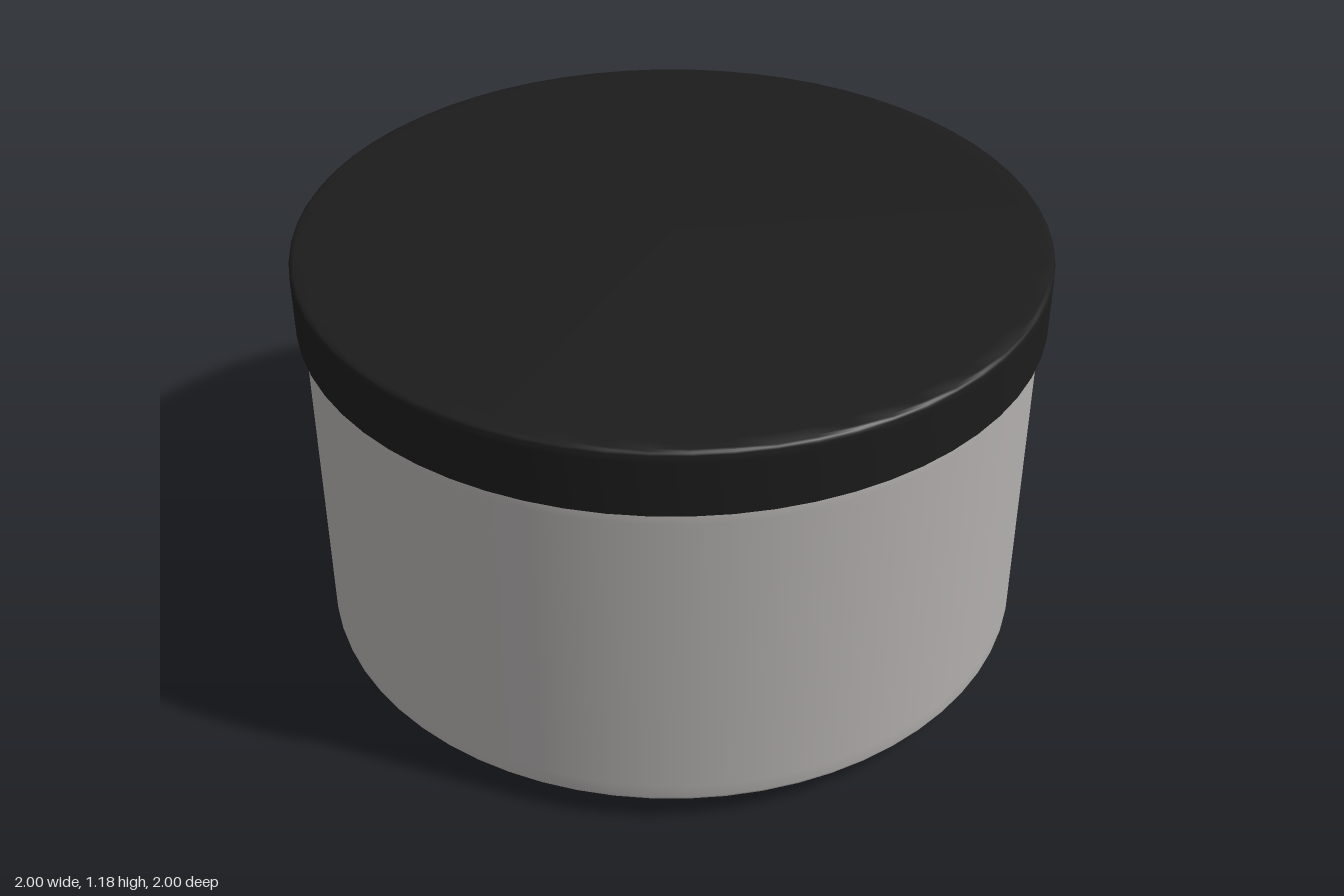
import * as THREE from 'three';
import { toCreasedNormals } from 'three/addons/utils/BufferGeometryUtils.js';

const SEGMENTS = 64;

// Rounded corner in the profile: centre, radius, start and end angle in degrees
function fillet(cx, cy, r, from, to, steps = 4) {
  return Array.from({ length: steps + 1 }, (_, i) => {
    const a = THREE.MathUtils.degToRad(from + ((to - from) * i) / steps);
    return [cx + r * Math.cos(a), cy + r * Math.sin(a)];
  });
}

// Turned part from a profile running bottom, outside, top
function turned(name, profile, material) {
  const points = profile.map(([x, y]) => new THREE.Vector2(x, y));
  const geometry = toCreasedNormals(new THREE.LatheGeometry(points, SEGMENTS), 0.6);
  const mesh = new THREE.Mesh(geometry, material);
  mesh.name = name;
  return mesh;
}

export function createModel() {
  const black = new THREE.MeshStandardMaterial({ color: 0x1c1c1c });
  black.name = 'black plastic';
  const silver = new THREE.MeshStandardMaterial({ color: 0xb2afae });
  silver.name = 'warm grey metal';
  const grey = new THREE.MeshStandardMaterial({ color: 0xa6a6a6 });
  grey.name = 'grey base';

  const model = new THREE.Group();
  model.name = 'canister';

  // Drum wall with a shallow lip below and softened edges
  model.add(turned('drumWall', [
    [0.968, 0.125], [0.968, 0.07],
    ...fillet(0.968, 0.082, 0.012, -90, 0),
    [0.98, 0.12], [0.98, 0.96],
    ...fillet(0.965, 0.985, 0.015, 0, 90),
    [0.9, 1.0],
  ], silver));

  // Recessed underside
  model.add(turned('basePlate', [[0, 0.115], [0.97, 0.115], [0.97, 0.14], [0, 0.14]], grey));

  // Overhanging lid with a small rounded top edge
  model.add(turned('lid', [
    [0, 1.0], [1.0, 1.0], [1.0, 1.15],
    ...fillet(0.985, 1.163, 0.015, 0, 90),
    [0.95, 1.178], [0, 1.178],
  ], black));

  // Hub disc and spindle under the base
  model.add(turned('hubDisc', [[0, 0.082], [0.197, 0.082], [0.197, 0.125], [0, 0.125]], black));
  model.add(turned('spindle', [[0, 0], [0.063, 0], [0.063, 0.1], [0, 0.1]], black));

  return model;
}
